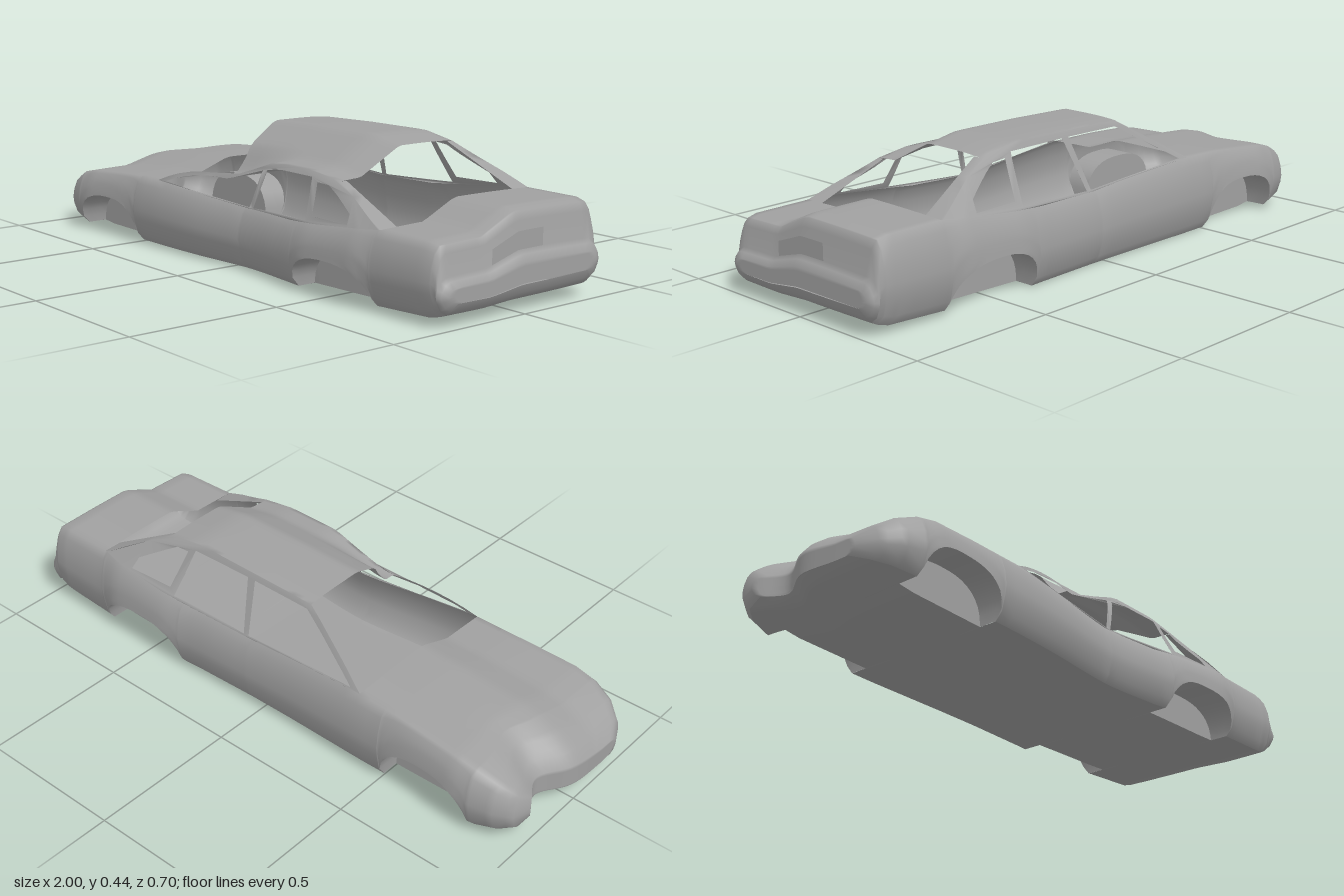
import * as THREE from 'three';
import { mergeGeometries, mergeVertices } from 'three/addons/utils/BufferGeometryUtils.js';

const clamp = (v) => Math.min(1, Math.max(0, v));
const lerp = THREE.MathUtils.lerp;
const material = new THREE.MeshStandardMaterial({ color: 0xa0a0a0, side: THREE.DoubleSide });

// Stations along the car, nose at -x: [x, half width, underside y, shoulder y]
const STATIONS = [
  [-1, 0.22, 0.06, 0.125], [-0.97, 0.28, 0.04, 0.16], [-0.92, 0.32, 0.028, 0.198],
  [-0.85, 0.342, 0.018, 0.23], [-0.78, 0.348, 0.01, 0.246], [-0.55, 0.335, 0.007, 0.264],
  [-0.4, 0.335, 0.006, 0.27], [-0.1, 0.327, 0.004, 0.254], [0.06, 0.327, 0.004, 0.243],
  [0.3, 0.335, 0.004, 0.247], [0.42, 0.35, 0.008, 0.258], [0.64, 0.352, 0.014, 0.283],
  [0.72, 0.337, 0.018, 0.292], [0.92, 0.333, 0.028, 0.292], [0.955, 0.328, 0.038, 0.283],
  [0.968, 0.322, 0.044, 0.258], [0.975, 0.325, 0.05, 0.178], [0.99, 0.32, 0.066, 0.166], [1, 0.3, 0.09, 0.145],
];
// Body side section: [height fraction, width fraction]
const PROFILE = [[0, 0.88], [0.12, 0.95], [0.35, 0.99], [0.5, 1], [0.7, 0.985], [0.9, 0.945], [1, 0.89]];
// Roof line: [x, y]
const ROOF = [[-0.13, 0.427], [0.1, 0.434], [0.36, 0.436], [0.48, 0.415]];
const ARCHES = [{ c: -0.67, a: 0.17, h: 0.157 }, { c: 0.53, a: 0.18, h: 0.148 }];
const COWL = -0.4, DECK = 0.72, ROOF0 = -0.13, ROOF1 = 0.48, ROOF_Z = 0.212, WELL_Z = 0.235;

function look(table, x, col) {
  let i = 1;
  while (i < table.length - 1 && table[i][0] < x) i++;
  const a = table[i - 1], b = table[i];
  return lerp(a[col], b[col], clamp((x - a[0]) / (b[0] - a[0])));
}
const width = (x) => look(STATIONS, x, 1);
const under = (x) => look(STATIONS, x, 2);
const belt = (x) => look(STATIONS, x, 3);
const roofY = (x) => look(ROOF, x, 1);
const shoulderZ = (x) => 0.89 * width(x);
const rearPillarY = (x) => lerp(roofY(ROOF1), belt(DECK), (x - ROOF1) / (DECK - ROOF1));
const archAt = (x) => ARCHES.find((k) => Math.abs(x - k.c) <= k.a + 1e-6);

// Lower edge of the body side, following the wheel arches
function lowerEdge(x) {
  const k = archAt(x);
  if (!k) return under(x);
  const t = Math.min(1, Math.abs(x - k.c) / k.a);
  return Math.max(under(x), k.h * Math.pow(1 - Math.pow(t, 2.6), 1 / 2.6));
}
function sideZ(x, y) {
  const b = under(x);
  return width(x) * look(PROFILE, (y - b) / (belt(x) - b), 1);
}
// Slope of the cabin side between shoulder and roof edge
const cabinZ = (x, y) => lerp(shoulderZ(x), ROOF_Z, clamp((y - belt(x)) / (roofY(x) - belt(x))));

// Crash damage: crushed left side, caved front roof corner, pushed-in doors and nose
function deform(p) {
  const { x, y, z } = p;
  const r = clamp((z - 0.01) / 0.125);
  const near = clamp(1 - Math.abs(x + 0.12) / 0.28);
  const b = belt(x);
  const rise = clamp((y - b) / 0.15);
  if (y > b && x > COWL && x < DECK) {
    p.y = b + (y - b) * (1 - 0.5 * near * clamp((z - 0.11) / 0.06));
    p.z += 0.03 * r * rise;
  }
  p.y *= 1 - r * lerp(0.14, 0.19, clamp((x + 0.6) / 0.5));
  p.x += 0.04 * near * r * rise;
  p.z -= 0.022 * clamp((z - 0.2) / 0.1) * Math.exp(-(((x - 0.08) / 0.2) ** 2));
  p.x += 0.065 * Math.exp(-(((z + 0.12) / 0.08) ** 2)) * clamp((-0.7 - x) / 0.25);
  return p;
}

function addMesh(parent, name, geometry) {
  const pos = geometry.attributes.position, p = new THREE.Vector3();
  for (let i = 0; i < pos.count; i++) {
    deform(p.fromBufferAttribute(pos, i));
    pos.setXYZ(i, p.x, p.y, p.z);
  }
  geometry.computeVertexNormals();
  const mesh = new THREE.Mesh(geometry, material);
  mesh.name = name;
  parent.add(mesh);
}

// Join panels that share edges, so shading runs smoothly across them
const weld = (parts) => mergeVertices(mergeGeometries(parts), 1e-4);

// Surface over two lists of parameters; fn(u, v) gives [x, y, z]
function grid(us, vs, fn, flip = false) {
  const pos = [], idx = [], n = vs.length;
  for (const u of us) for (const v of vs) pos.push(...fn(u, v));
  for (let i = 0; i < us.length - 1; i++) {
    for (let j = 0; j < n - 1; j++) {
      const a = i * n + j, b = a + n, c = b + 1, d = a + 1;
      if (flip) idx.push(a, d, b, b, d, c);
      else idx.push(a, b, d, b, c, d);
    }
  }
  const g = new THREE.BufferGeometry();
  g.setAttribute('position', new THREE.Float32BufferAttribute(pos, 3));
  g.setIndex(idx);
  return g;
}
const steps = (a, b, n) => Array.from({ length: n + 1 }, (_, i) => lerp(a, b, i / n));

// Lengthwise samples, dense at the arches
function lengthSamples() {
  const xs = [...STATIONS.map((s) => s[0]), ...steps(-0.95, 0.95, 38)].filter((x) => !archAt(x));
  for (const { c, a } of ARCHES) {
    xs.push(c - a - 0.002, c + a + 0.002);
    for (const t of steps(-Math.PI / 2, Math.PI / 2, 18)) xs.push(c + a * Math.sin(t));
  }
  xs.sort((p, q) => p - q);
  return xs.filter((x, i) => i === 0 || x - xs[i - 1] > 1e-4);
}

// Cabin side panel with three window openings
function cabinSide(s, xs) {
  const outline = [
    ...xs.filter((x) => x > COWL - 1e-4 && x < DECK + 1e-4).map((x) => [x, belt(x)]),
    ...steps(DECK, ROOF1, 6).slice(1, -1).map((x) => [x, rearPillarY(x)]),
    ...steps(ROOF1, ROOF0, 16).map((x) => [x, roofY(x)]),
    ...steps(ROOF0, COWL, 6).slice(1, -1).map((x) => [x, lerp(belt(COWL), roofY(ROOF0), (x - COWL) / (ROOF0 - COWL))]),
  ];
  const windows = [
    [[-0.36, 0.273], [-0.12, 0.41], [0.1, 0.414], [0.07, 0.249]],
    [[0.09, 0.249], [0.13, 0.414], [0.36, 0.414], [0.39, 0.262]],
    [[0.415, 0.283], [0.39, 0.4], [0.44, 0.396], [0.575, 0.32], [0.585, 0.285]],
  ];
  const shape = new THREE.Shape(outline.map(([x, y]) => new THREE.Vector2(x, y)));
  for (const w of windows) {
    const pts = w.flatMap(([x, y], i) => {
      const [x2, y2] = w[(i + 1) % w.length];
      return steps(0, 1, 6).slice(0, -1).map((t) => new THREE.Vector2(lerp(x, x2, t), lerp(y, y2, t)));
    });
    shape.holes.push(new THREE.Path(pts));
  }
  const g = new THREE.ShapeGeometry(shape), pos = g.attributes.position;
  g.deleteAttribute('normal');
  g.deleteAttribute('uv');
  for (let i = 0; i < pos.count; i++) pos.setZ(i, s * cabinZ(pos.getX(i), pos.getY(i)));
  if (s < 0) g.setIndex(Array.from(g.index.array).reverse());
  return g;
}

export function createModel() {
  const car = new THREE.Group();
  car.name = 'carBody';
  const xs = lengthSamples();
  const across = steps(-1, 1, 26);
  const rows = PROFILE.map((p) => p[0]);
  const shell = [], cabin = [];

  for (const s of [1, -1]) {
    const side = s > 0 ? 'left' : 'right';
    // Lower body side
    shell.push(grid(xs, rows, (x, v) => {
      const y = lerp(lowerEdge(x), belt(x), v);
      return [x, y, s * sideZ(x, y)];
    }, s < 0));
    cabin.push(cabinSide(s, xs));
    // Rear pillar turned inward beside the back window
    cabin.push(grid(steps(ROOF1, DECK, 6), [0, 1], (x, v) => {
      const y = rearPillarY(x), inner = lerp(0.19, 0.235, (x - ROOF1) / (DECK - ROOF1));
      return [x, y, s * lerp(cabinZ(x, y), inner, v)];
    }, s < 0));
    // Wheel wells: arched roof and inner wall
    ARCHES.forEach((k, i) => {
      const ax = steps(-Math.PI / 2, Math.PI / 2, 18).map((t) => k.c + k.a * Math.sin(t));
      const name = side + (i ? 'Rear' : 'Front') + 'WheelWell';
      addMesh(car, name + 'Roof', grid(ax, steps(0, 1, 3), (x, v) =>
        [x, lowerEdge(x), s * lerp(sideZ(x, lowerEdge(x)), WELL_Z, v)], s > 0));
      addMesh(car, name + 'Wall', grid(ax, [0, 1], (x, v) =>
        [x, lerp(under(x), lowerEdge(x), v), s * WELL_Z], s < 0));
    });
  }

  // Hood, trunk lid and both bumper faces
  const crown = (v) => 0.006 * (1 - v * v);
  const lid = (x, v) => [x, belt(x) + crown(v), -v * shoulderZ(x)];
  shell.push(grid(xs.filter((x) => x <= COWL + 1e-4), across, lid));
  shell.push(grid(xs.filter((x) => x >= DECK - 1e-4), across, lid));
  for (const x of [-1, 1]) {
    shell.push(grid(rows, across, (u, v) => {
      const y = lerp(under(x), belt(x), u);
      return [x, y + (u === 1 ? crown(v) : 0), v * sideZ(x, y)];
    }, x < 0));
  }
  addMesh(car, 'lowerBody', weld(shell));

  // Roof panel, gently crowned
  cabin.push(grid(steps(ROOF0, ROOF1, 16), across, (x, v) =>
    [x, roofY(x) + 0.006 * (1 - v ** 4), v * ROOF_Z], true));
  addMesh(car, 'cabin', weld(cabin));

  // Floor, narrowed between the wheel wells
  addMesh(car, 'floor', grid(xs, across, (x, v) =>
    [x, under(x) - 0.003 * (1 - v * v), v * (archAt(x) ? WELL_Z : 0.88 * width(x))]));

  // Rear plate panel
  addMesh(car, 'platePanel', grid([0.184, 0.238], steps(-0.09, 0.115, 8), (y, z) => [0.979, y, z]));
  return car;
}
